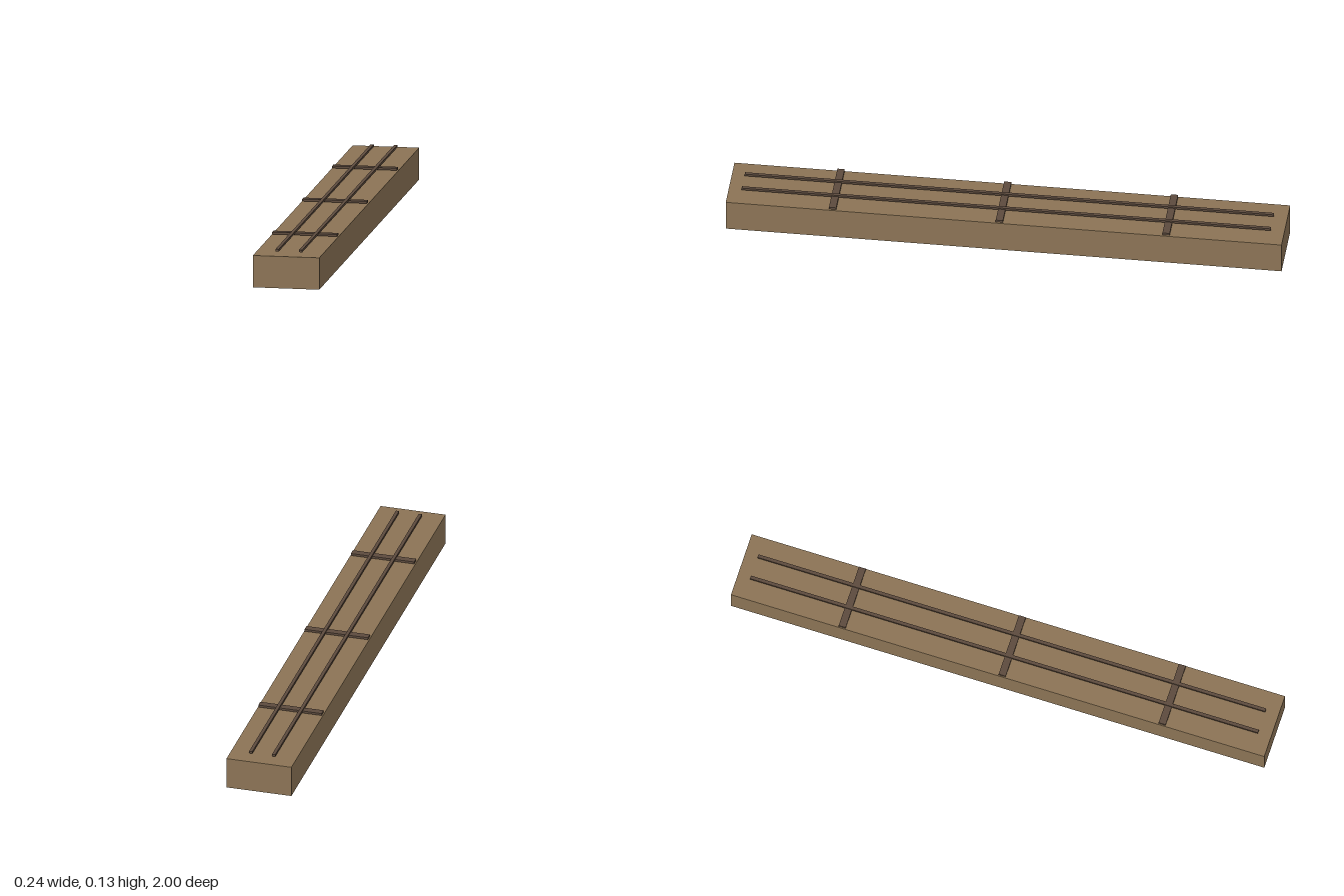
import * as THREE from 'three';

export function createModel() {
  const group = new THREE.Group();
  const wood = new THREE.MeshStandardMaterial({ color: 0x8b7355 });
  const dark = new THREE.MeshStandardMaterial({ color: 0x5c4a3d });

  // Box given by its size and the centre of its underside
  function addBox(name, material, [w, h, d], [x, y, z]) {
    const mesh = new THREE.Mesh(new THREE.BoxGeometry(w, h, d), material);
    mesh.name = name;
    mesh.position.set(x, y + h / 2, z);
    group.add(mesh);
  }

  // Long beam
  addBox('beam', wood, [0.241, 0.116, 2], [0, 0, 0]);

  // Cross slats, just clear of the beam's top
  [-0.584, 0.016, 0.616].forEach((z, i) =>
    addBox(`crossSlat${i + 1}`, dark, [0.235, 0.008, 0.026], [0, 0.119, z]));

  // Two thin rails lying on the slats
  addBox('rightRail', dark, [0.012, 0.008, 1.904], [-0.041, 0.124, 0]);
  addBox('leftRail', dark, [0.012, 0.008, 1.904], [0.044, 0.124, 0]);

  return group;
}
